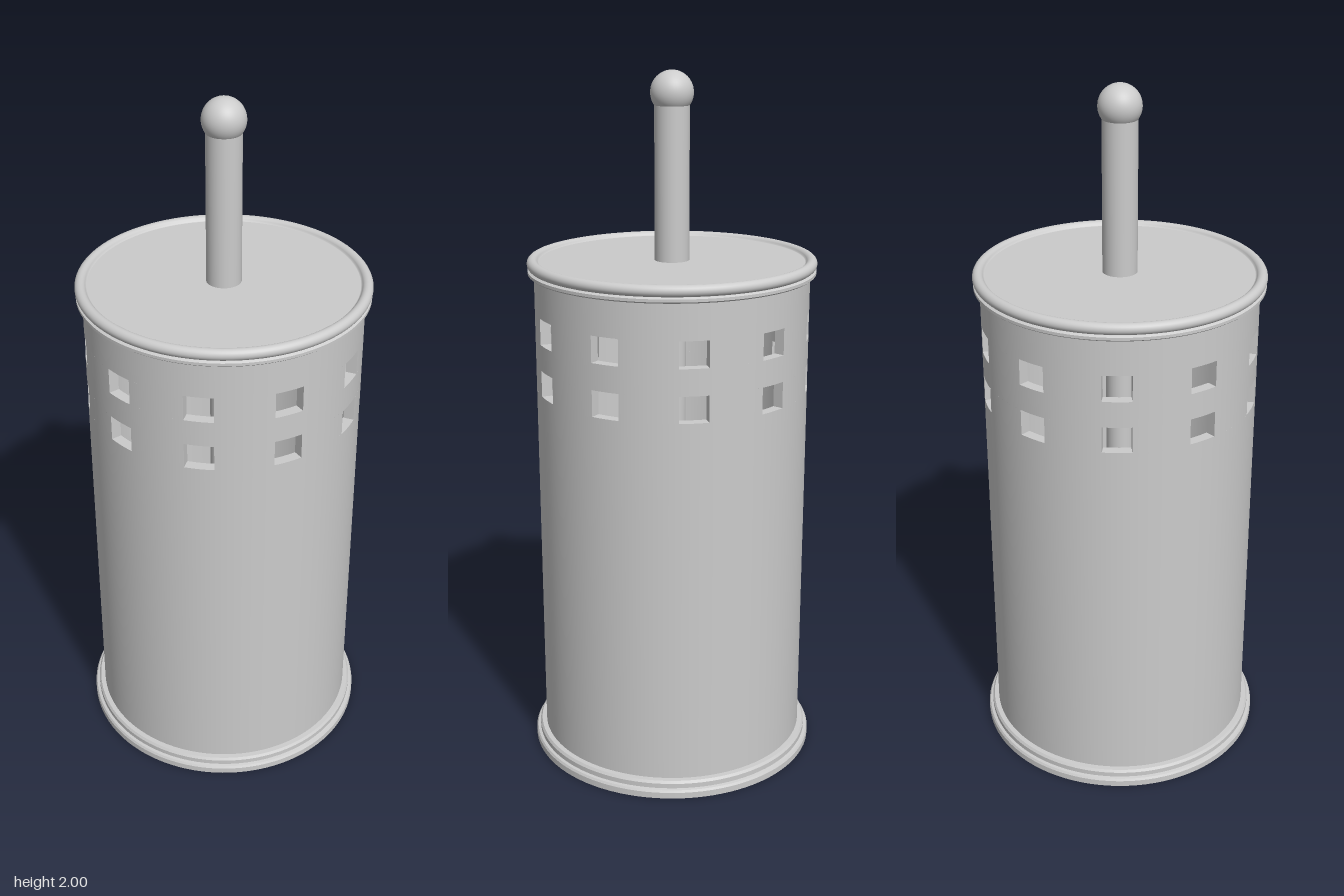
import * as THREE from 'three';
import { mergeGeometries } from 'three/addons/utils/BufferGeometryUtils.js';

const material = new THREE.MeshStandardMaterial({ color: 0xcccccc, side: THREE.DoubleSide });
const R = 0.39, WALL = 0.03, HOLES = 10;
const STEP = (Math.PI * 2) / HOLES;
const HOLE_ANGLE = 0.21, FIRST_HOLE = 0.21;
const HOLE_ROWS = [[1.115, 1.19], [1.265, 1.34]];

const vec = ([r, y]) => new THREE.Vector2(r, y);

function add(parent, name, geometry) {
  const mesh = new THREE.Mesh(geometry, material);
  mesh.name = name;
  parent.add(mesh);
  return mesh;
}

// Turned profile with a sharp edge at every point
function crispLathe(points, segments = 96, start = 0, length = Math.PI * 2) {
  const strips = [];
  for (let i = 0; i < points.length - 1; i++) {
    strips.push(new THREE.LatheGeometry([vec(points[i]), vec(points[i + 1])], segments, start, length));
  }
  return mergeGeometries(strips);
}

// Closed tubular band of the wall
function band(y0, y1) {
  const r = R - WALL;
  return crispLathe([[R, y0], [R, y1], [r, y1], [r, y0], [R, y0]]);
}

// Wall pieces between the windows of one row, with their upright side faces
function windowRow(y0, y1) {
  const parts = [];
  const gap = STEP - HOLE_ANGLE;
  for (let i = 0; i < HOLES; i++) {
    const start = FIRST_HOLE + HOLE_ANGLE / 2 + i * STEP;
    parts.push(new THREE.LatheGeometry([[R, y0], [R, y1]].map(vec), 8, start, gap));
    parts.push(new THREE.LatheGeometry([[R - WALL, y1], [R - WALL, y0]].map(vec), 8, start, gap));
    [start, start + gap].forEach((angle, side) => {
      const face = new THREE.PlaneGeometry(WALL, y1 - y0);
      if (side === 0) face.rotateY(Math.PI);
      face.translate(R - WALL / 2, (y0 + y1) / 2, 0);
      // plane lies along x; turn it to the radial direction of the angle
      face.rotateY(angle - Math.PI / 2);
      if (side === 0 || side === 1) parts.push(flip(face));
    });
  }
  return mergeGeometries(parts);
}

// Reverse a plane so that it faces into the window
function flip(geometry) {
  const index = geometry.index.array;
  for (let i = 0; i < index.length; i += 3) [index[i], index[i + 1]] = [index[i + 1], index[i]];
  const normal = geometry.attributes.normal;
  for (let i = 0; i < normal.count; i++) normal.setXYZ(i, -normal.getX(i), -normal.getY(i), -normal.getZ(i));
  return geometry;
}

export function createModel() {
  const model = new THREE.Group();
  model.name = 'brushHolder';

  // Perforated container, open below
  const container = new THREE.Group();
  container.name = 'container';
  model.add(container);
  add(container, 'lowerWall', band(0.01, HOLE_ROWS[0][0]));
  add(container, 'middleWall', band(HOLE_ROWS[0][1], HOLE_ROWS[1][0]));
  add(container, 'upperWall', band(HOLE_ROWS[1][1], 1.46));
  HOLE_ROWS.forEach(([y0, y1]) => add(container, 'windowRow', windowRow(y0, y1).clone()));

  // Stepped foot ring
  add(model, 'footRing', crispLathe([
    [0.362, 0], [0.421, 0], [0.421, 0.018], [0.417, 0.024], [0.409, 0.026],
    [0.409, 0.04], [0.404, 0.047], [0.388, 0.048],
  ]));

  // Lid: rounded raised rim around a sunken disc, with a stepped skirt below
  const bead = [];
  for (let i = 0; i <= 16; i++) {
    const a = -Math.PI / 2 + (i / 16) * Math.PI * 1.4;
    bead.push([0.393 + 0.016 * Math.cos(a), 1.474 + 0.016 * Math.sin(a)]);
  }
  bead.push([0.375, 1.478]);
  const lid = new THREE.Group();
  lid.name = 'lid';
  model.add(lid);
  add(lid, 'lidRim', new THREE.LatheGeometry(bead.map(vec), 96));
  add(lid, 'lidDisc', crispLathe([[0.39, 1.462], [0.376, 1.478], [0, 1.478]]));
  add(lid, 'lidUnderside', crispLathe([[0, 1.458], [0.362, 1.458]]));
  add(lid, 'lidSkirt', crispLathe([
    [0.388, 1.443], [0.402, 1.443], [0.407, 1.447], [0.407, 1.455], [0.4, 1.459], [0.39, 1.46],
  ]));

  // Handle with ball end, its thinner stem reaching into the container
  const handle = new THREE.Group();
  handle.name = 'handle';
  model.add(handle);
  add(handle, 'grip', new THREE.CylinderGeometry(0.049, 0.049, 0.45, 40)).position.y = 1.69;
  add(handle, 'knob', new THREE.SphereGeometry(0.06, 40, 24)).position.y = 1.94;
  add(handle, 'stem', new THREE.CylinderGeometry(0.04, 0.04, 0.9, 32)).position.y = 1.01;

  return model;
}
